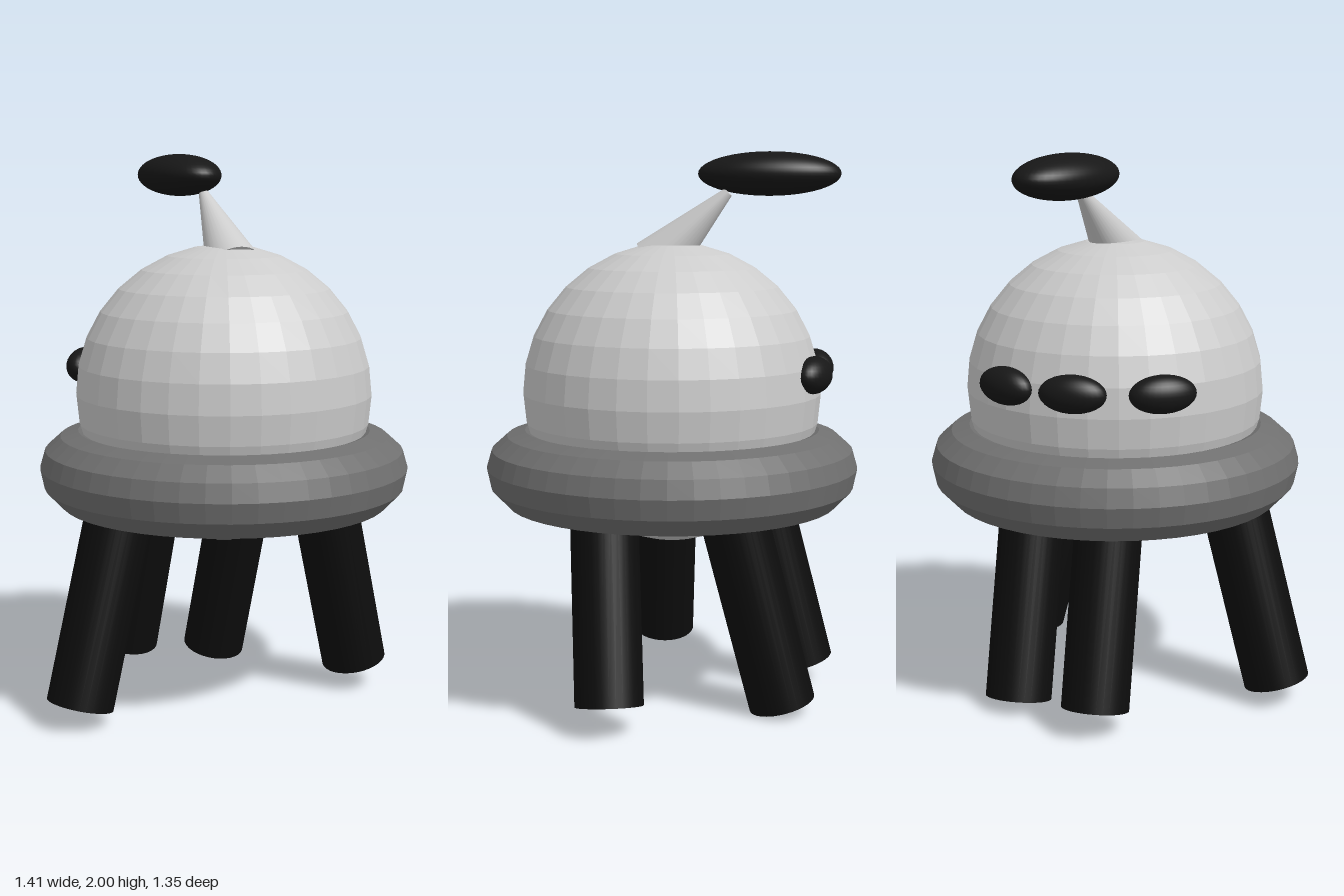
import * as THREE from 'three';

const CX = 0.03, CY = 1.14, R = 0.54; // body centre and radius

const paint = (color, flatShading = false) => new THREE.MeshStandardMaterial({ color, flatShading });

export function createModel() {
  const group = new THREE.Group();
  const grey = paint(0xcccccc), greyFlat = paint(0xcccccc, true);
  const ringGrey = paint(0x707070, true), black = paint(0x0d0d0d), dark = paint(0x171717);

  function add(name, geometry, material, x = 0, y = 0, z = 0) {
    const mesh = new THREE.Mesh(geometry, material);
    mesh.name = name;
    mesh.position.set(x, y, z);
    group.add(mesh);
    return mesh;
  }

  // Cylinder or cone running between two points
  function rod(name, from, to, r0, r1, material) {
    const a = new THREE.Vector3(...from), b = new THREE.Vector3(...to);
    const dir = b.clone().sub(a);
    const mesh = add(name, new THREE.CylinderGeometry(r1, r0, dir.length(), 32), material);
    mesh.position.copy(a).add(b).multiplyScalar(0.5);
    mesh.quaternion.setFromUnitVectors(new THREE.Vector3(0, 1, 0), dir.normalize());
  }

  // Faceted round body
  add('body', new THREE.SphereGeometry(R, 32, 16), greyFlat, CX, CY, 0);

  // Ring around the body, slightly flattened underneath
  const profile = [
    [0.47, 0.737], [0.6, 0.737], [0.66, 0.8], [0.675, 0.872], [0.656, 0.937], [0.6, 0.987],
    [0.535, 1.007], [0.47, 0.987], [0.423, 0.937], [0.405, 0.87], [0.423, 0.8], [0.47, 0.737],
  ].map(([x, y]) => new THREE.Vector2(x, y));
  add('ring', new THREE.LatheGeometry(profile, 48), ringGrey, CX, 0, 0);

  // Splayed legs: foot centre, then x and z change per unit of height
  const legs = [
    ['frontRightLeg', [-0.59, 0.077, 0.13], 0.255, -0.06],
    ['frontLeftLeg', [0.51, 0.103, 0.145], -0.25, 0.07],
    ['backRightLeg', [-0.18, 0.09, -0.465], 0.068, 0.252],
    ['backLeftLeg', [0.18, 0.035, -0.425], 0.066, 0.254],
  ];
  for (const [name, foot, sx, sz] of legs) {
    const h = 0.85 - foot[1];
    rod(name, foot, [foot[0] + sx * h, 0.85, foot[2] + sz * h], 0.12, 0.12, black);
  }

  // Stalk leaning backwards with an oval pad on its end
  rod('stalk', [0.04, 1.605, 0.054], [0.04, 1.857, -0.203], 0.1, 0.018, grey);
  add('stalkPad', new THREE.SphereGeometry(1, 48, 24), dark, 0.002, 1.922, -0.345).scale.set(0.133, 0.078, 0.255);

  // Oval windows set into the back of the body
  for (const [x, z] of [[0.11, -0.52], [-0.155, -0.51], [-0.41, -0.35]]) {
    const window = add('window', new THREE.SphereGeometry(1, 32, 16), dark, CX + x, 1.222, z);
    window.scale.set(0.118, 0.066, 0.062);
    window.rotation.y = Math.atan2(x, z);
  }
  return group;
}
